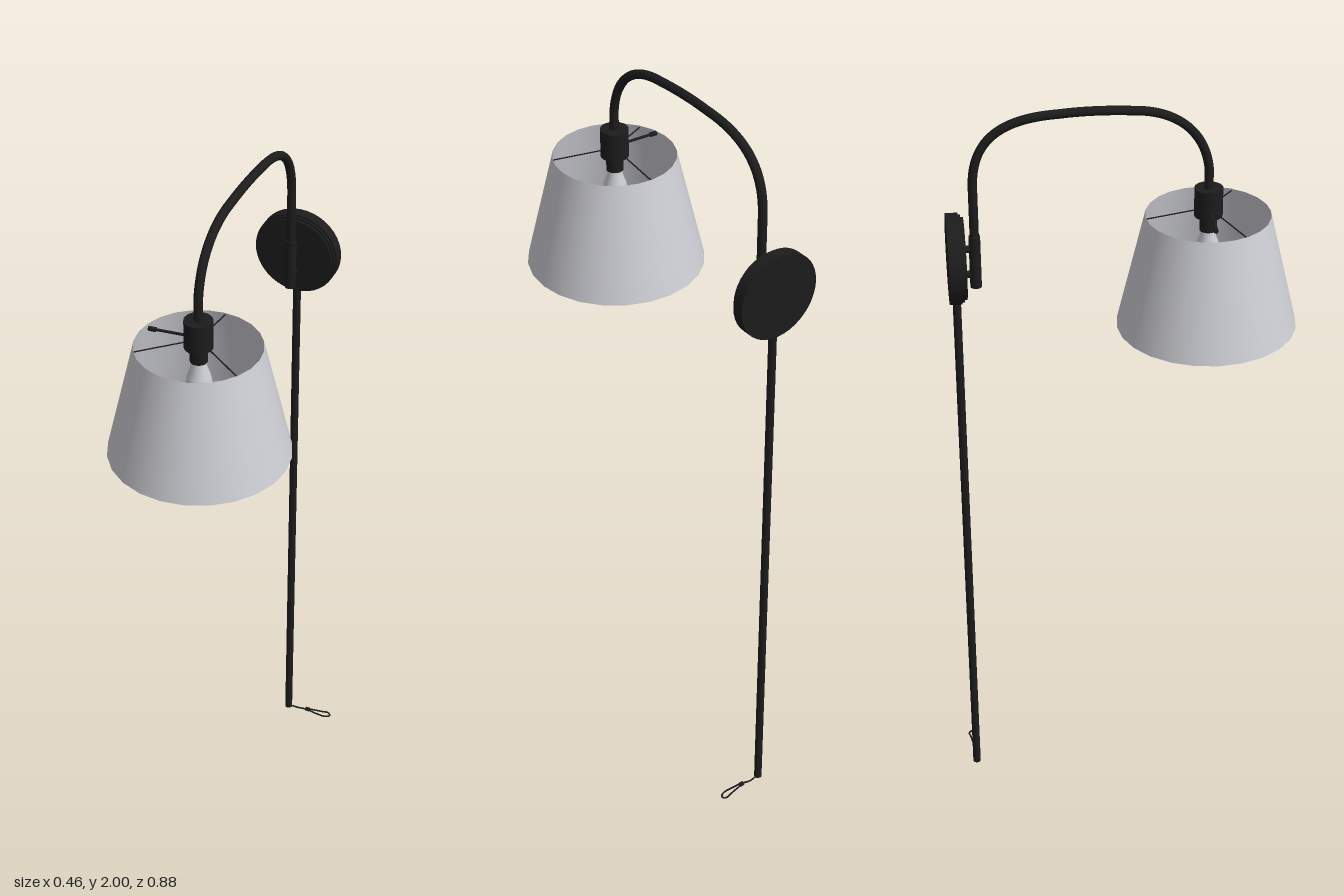
import * as THREE from 'three';

export function createModel() {
  const model = new THREE.Group();
  const black = new THREE.MeshStandardMaterial({ color: 0x1c1c1c });
  black.name = 'black metal';
  const fabric = new THREE.MeshStandardMaterial({ color: 0xcdced4, side: THREE.DoubleSide });
  fabric.name = 'pale grey';
  const V = (x, y, z) => new THREE.Vector3(x, y, z);
  const shadeZ = 0.21, plateY = 1.61;

  function add(name, geometry, material, x = 0, y = 0, z = 0) {
    const mesh = new THREE.Mesh(geometry, material);
    mesh.name = name;
    mesh.position.set(x, y, z);
    model.add(mesh);
    return mesh;
  }
  // Straight rod between two points
  function rod(name, a, b, r, sides = 12) {
    const mesh = add(name, new THREE.CylinderGeometry(r, r, a.distanceTo(b), sides), black);
    mesh.position.copy(a).add(b).multiplyScalar(0.5);
    mesh.quaternion.setFromUnitVectors(V(0, 1, 0), b.clone().sub(a).normalize());
    return mesh;
  }
  const lathe = (pts, n) => new THREE.LatheGeometry(pts.map(p => new THREE.Vector2(...p)), n);

  // Open tapered shade
  add('shade', new THREE.CylinderGeometry(0.158, 0.23, 0.306, 24, 1, true), fabric, 0, 1.545, shadeZ);

  // Socket and bulb
  add('socket', new THREE.CylinderGeometry(0.036, 0.036, 0.075, 24), black, 0, 1.733, shadeZ);
  add('socketNeck', new THREE.CylinderGeometry(0.022, 0.022, 0.05, 16), black, 0, 1.68, shadeZ);
  add('bulb', lathe([[0, 1.55], [0.018, 1.554], [0.03, 1.568], [0.034, 1.59],
    [0.029, 1.615], [0.02, 1.64], [0.017, 1.67]], 20), fabric, 0, 0, shadeZ);

  // Three spokes holding the shade
  for (let i = 0; i < 3; i++) {
    const a = Math.PI / 6 + i * Math.PI * 2 / 3;
    rod('shadeSpoke', V(Math.cos(a) * 0.02, 1.713, shadeZ + Math.sin(a) * 0.02),
      V(Math.cos(a) * 0.158, 1.692, shadeZ + Math.sin(a) * 0.158), 0.0018, 6);
  }

  // Switch stem with knob
  rod('switchStem', V(-0.03, 1.72, shadeZ), V(-0.115, 1.715, shadeZ), 0.0035);
  rod('switchKnob', V(-0.112, 1.715, shadeZ), V(-0.131, 1.714, shadeZ), 0.006);

  // Curved arm: straight ends, soft corners, slightly domed top
  const arm = new THREE.CurvePath();
  arm.add(new THREE.LineCurve3(V(0, 1.765, shadeZ), V(0, 1.82, shadeZ)));
  arm.add(new THREE.CubicBezierCurve3(V(0, 1.82, shadeZ), V(0, 1.92, 0.2), V(0, 1.982, 0.13), V(0, 1.985, 0.02)));
  arm.add(new THREE.CubicBezierCurve3(V(0, 1.985, 0.02), V(0, 1.99, -0.04), V(0, 1.99, -0.11), V(0, 1.985, -0.16)));
  arm.add(new THREE.CubicBezierCurve3(V(0, 1.985, -0.16), V(0, 1.98, -0.31), V(0, 1.92, -0.374), V(0, 1.8, -0.374)));
  arm.add(new THREE.LineCurve3(V(0, 1.8, -0.374), V(0, 1.54, -0.374)));
  add('arm', new THREE.TubeGeometry(arm, 100, 0.0115, 12), black);

  // Sleeve and pins joining the arm to the wall plate
  rod('armSleeve', V(0, 1.53, -0.374), V(0, 1.67, -0.374), 0.0145, 16);
  for (const y of [1.565, 1.635]) rod('mountPin', V(0, y, -0.375), V(0, y, -0.41), 0.009);

  // Stepped round wall plate
  rod('wallPlate', V(0, plateY, -0.443), V(0, plateY, -0.412), 0.114, 40);
  rod('wallPlateStep', V(0, plateY, -0.413), V(0, plateY, -0.406), 0.109, 40);
  rod('wallPlateFace', V(0, plateY, -0.407), V(0, plateY, -0.399), 0.103, 40);

  // Vertical cord cover
  rod('cordCover', V(0, 0.005, -0.424), V(0, 1.51, -0.424), 0.0105);

  // Loose cord on the floor ending in a loop
  const cord = new THREE.CatmullRomCurve3([V(0, 0.008, -0.424), V(0.03, 0.005, -0.427),
    V(0.06, 0.01, -0.424), V(0.09, 0.008, -0.42), V(0.12, 0.007, -0.42), V(0.132, 0.006, -0.43),
    V(0.122, 0.007, -0.439), V(0.108, 0.008, -0.436), V(0.06, 0.01, -0.428)]);
  add('looseCord', new THREE.TubeGeometry(cord, 60, 0.0025, 6), black);
  rod('cordClip', V(0.055, 0.01, -0.426), V(0.066, 0.01, -0.426), 0.006, 10);

  return model;
}
